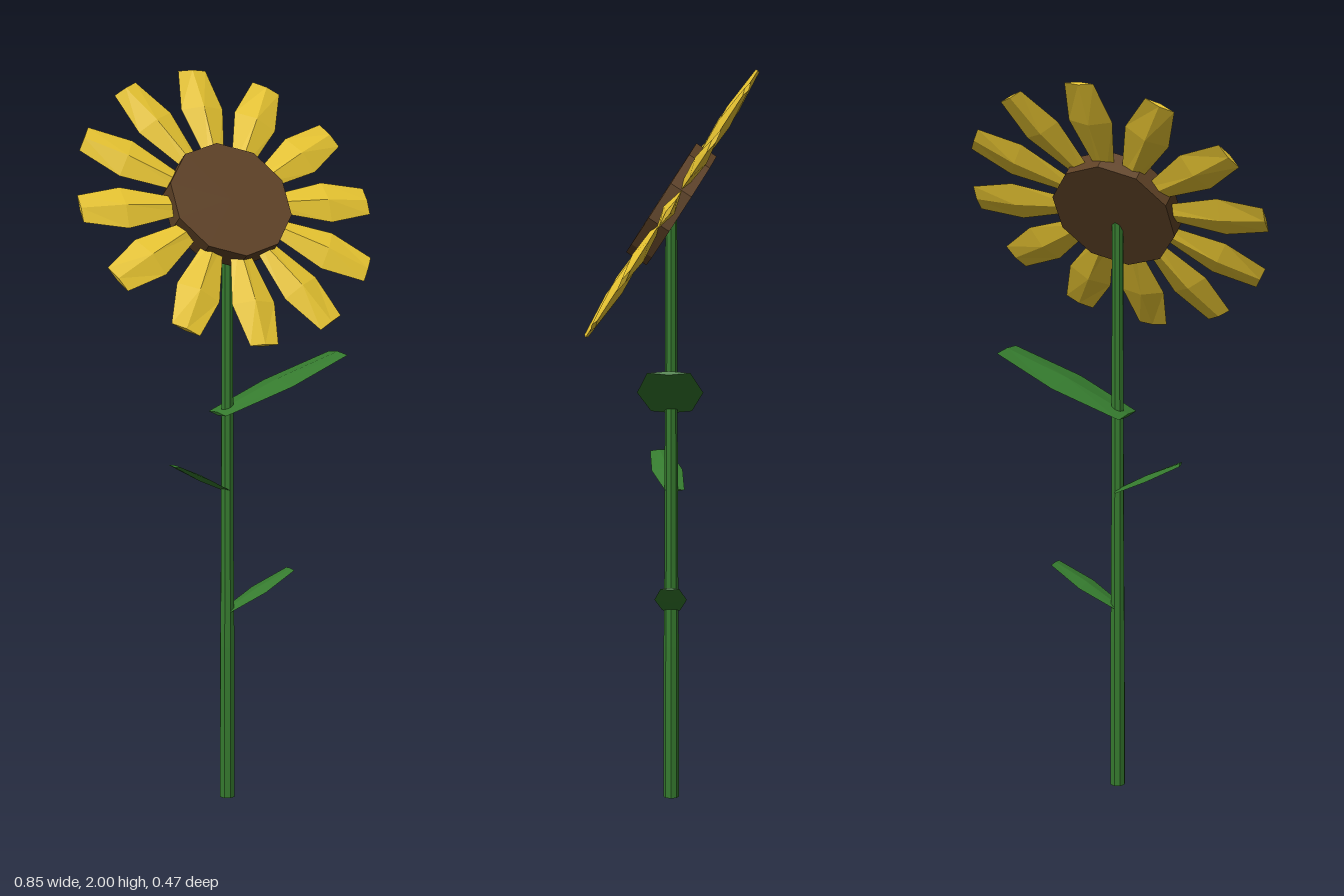
import * as THREE from 'three';

const material = (color) => new THREE.MeshStandardMaterial({ color, flatShading: true });
const petalMat = material(0xe8c531);
const discMat = material(0x5f4226);
const greenMat = material(0x357a2e);

// Faceted blade along +y: each section is [y, half width, half thickness], a diamond.
function bladeGeometry(sections) {
  const pos = [], index = [];
  for (const [y, w, t] of sections) pos.push(w, y, 0, 0, y, t, -w, y, 0, 0, y, -t);
  for (let s = 0; s < sections.length - 1; s++) {
    for (let k = 0; k < 4; k++) {
      const a = s * 4 + k, b = s * 4 + (k + 1) % 4;
      index.push(a, a + 4, b, b, a + 4, b + 4);
    }
  }
  const e = (sections.length - 1) * 4;
  index.push(0, 1, 2, 0, 2, 3, e, e + 2, e + 1, e, e + 3, e + 2);
  const geo = new THREE.BufferGeometry();
  geo.setAttribute('position', new THREE.Float32BufferAttribute(pos, 3));
  geo.setIndex(index);
  geo.computeVertexNormals();
  return geo;
}

// Leaf from root to tip, its width kept level
function makeLeaf(name, root, tip, endWidth, midWidth, thickness) {
  const from = new THREE.Vector3(...root);
  const dir = new THREE.Vector3(...tip).sub(from);
  const len = dir.length();
  dir.normalize();
  const side = new THREE.Vector3().crossVectors(dir, new THREE.Vector3(0, 1, 0)).normalize();
  const normal = new THREE.Vector3().crossVectors(side, dir);
  const leaf = new THREE.Mesh(bladeGeometry([
    [0, endWidth, thickness * 0.4],
    [len * 0.5, midWidth, thickness],
    [len, endWidth, thickness * 0.4],
  ]), greenMat);
  leaf.name = name;
  leaf.quaternion.setFromRotationMatrix(new THREE.Matrix4().makeBasis(side, dir, normal));
  leaf.position.copy(from);
  return leaf;
}

export function createModel() {
  const model = new THREE.Group();
  model.name = 'sunflower';

  // Tapered stem, closed at the foot
  const profile = [[0, 0], [0.022, 0], [0.021, 0.43], [0.019, 0.65], [0.017, 1.2], [0.016, 1.62], [0, 1.62]];
  const stem = new THREE.Mesh(
    new THREE.LatheGeometry(profile.map(([r, y]) => new THREE.Vector2(r, y)), 8), greenMat);
  stem.name = 'stem';
  model.add(stem);

  // Three leaves
  model.add(
    makeLeaf('upperLeaf', [-0.03, 1.08], [0.34, 1.228, 0], 0.056, 0.088, 0.013),
    makeLeaf('middleLeaf', [0, 0.865, -0.01], [-0.172, 0.95, 0.036], 0.027, 0.044, 0.008),
    makeLeaf('lowerLeaf', [0, 0.53, 0], [0.194, 0.63, 0], 0.025, 0.044, 0.008));

  // Flower head, tilted back to face up and forward
  const head = new THREE.Group();
  head.name = 'flowerHead';
  head.position.y = 1.645;
  head.rotation.x = -0.575;
  model.add(head);

  const disc = new THREE.Mesh(new THREE.CylinderGeometry(0.174, 0.174, 0.065, 10), discMat);
  disc.name = 'seedDisc';
  disc.rotation.x = Math.PI / 2;
  head.add(disc);

  // Ring of twelve petals
  const petalGeo = bladeGeometry([
    [0.12, 0.022, 0.008], [0.3, 0.062, 0.017], [0.424, 0.041, 0.006],
  ]);
  for (let i = 0; i < 12; i++) {
    const petal = new THREE.Mesh(petalGeo, petalMat);
    petal.name = `petal${i + 1}`;
    petal.rotation.z = (i / 12) * Math.PI * 2;
    head.add(petal);
  }
  return model;
}
